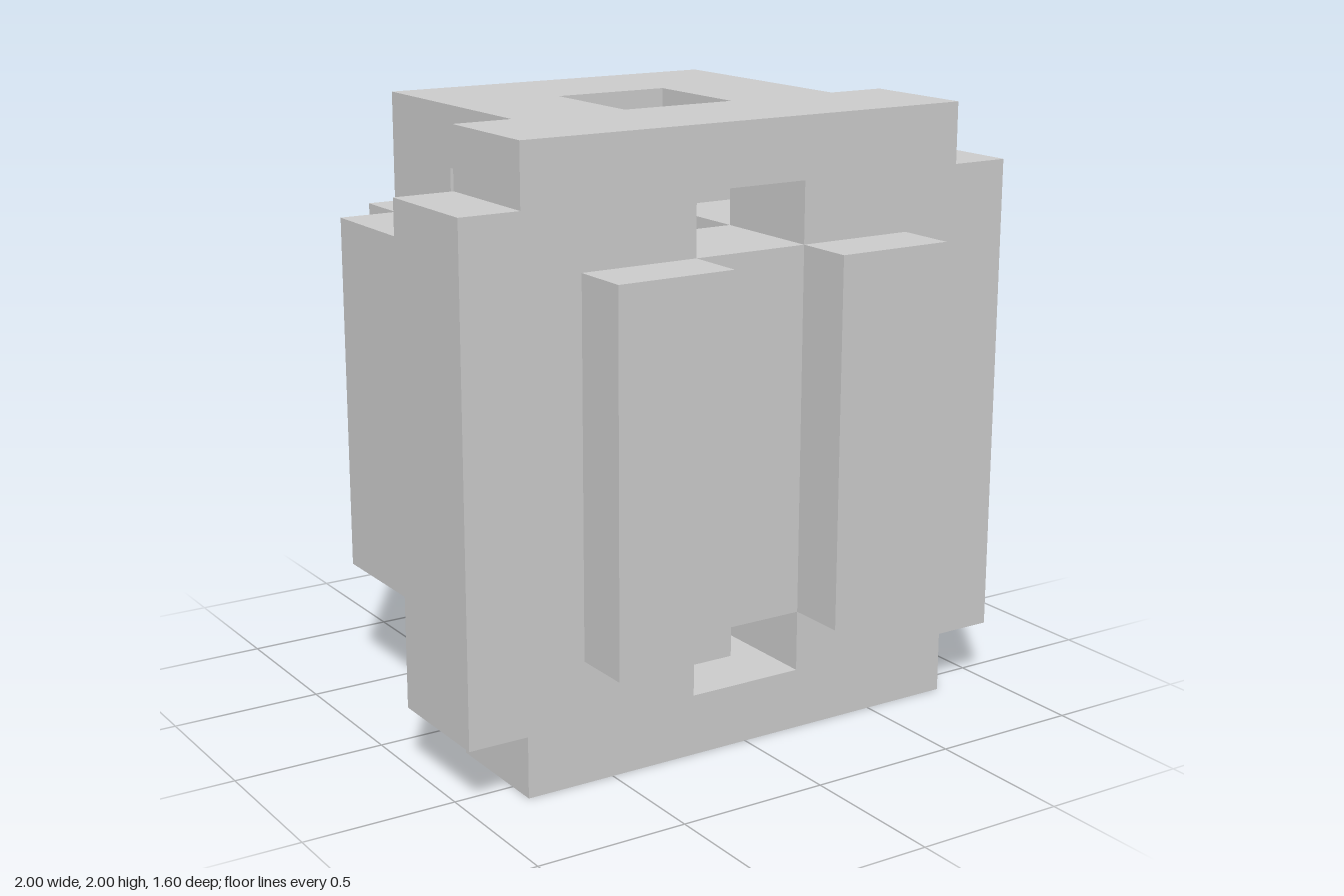
import * as THREE from 'three';

const material = new THREE.MeshStandardMaterial({ color: 0xcccccc, flatShading: true });

export function createModel() {
  const group = new THREE.Group();
  group.name = 'interlockingBlock';

  const add = (name, geometry) => {
    const mesh = new THREE.Mesh(geometry, material);
    mesh.name = name;
    group.add(mesh);
  };

  // Box given by its minimum and maximum on each axis
  const box = (name, x0, x1, y0, y1, z0, z1) => {
    const geometry = new THREE.BoxGeometry(x1 - x0, y1 - y0, z1 - z0);
    geometry.translate((x0 + x1) / 2, (y0 + y1) / 2, (z0 + z1) / 2);
    add(name, geometry);
  };

  // Upright plate, 0.4 thick, with a window near the top and the bottom
  const plate = (name, outline, z) => {
    const shape = new THREE.Shape(outline.map(([x, y]) => new THREE.Vector2(x, y)));
    for (const y of [0.2, 1.6]) {
      const corners = [[-0.2, y], [-0.2, y + 0.2], [0.2, y + 0.2], [0.2, y]];
      shape.holes.push(new THREE.Path(corners.map(([a, b]) => new THREE.Vector2(a, b))));
    }
    const geometry = new THREE.ExtrudeGeometry(shape, { depth: 0.4, bevelEnabled: false });
    geometry.translate(0, 0, z);
    add(name, geometry);
  };

  // Wide front plate with notched corners, narrower back plate
  plate('frontPlate', [
    [-0.8, 0], [0.8, 0], [0.8, 0.2], [1, 0.2], [1, 1.8], [0.8, 1.8],
    [0.8, 2], [-0.8, 2], [-0.8, 1.8], [-1, 1.8], [-1, 0.2], [-0.8, 0.2],
  ], 0.2);
  plate('backPlate', [[-0.6, 0], [0.6, 0], [0.6, 2], [-0.6, 2]], -0.6);

  for (const [side, s] of [['left', 1], ['right', -1]]) {
    // x range measured outwards from the middle on this side
    const mirrored = (name, near, far, ...rest) =>
      box(side + name, Math.min(s * near, s * far), Math.max(s * near, s * far), ...rest);

    // Side wall, broken by the two side windows
    mirrored('BottomBridge', 0.2, 0.6, 0, 0.2, -0.2, 0.2);
    mirrored('WallPanel', 0.2, 0.6, 0.4, 1.6, -0.2, 0.2);
    mirrored('TopBridge', 0.2, 0.6, 1.8, 2, -0.2, 0.2);

    // Raised posts on the front, back and side faces
    mirrored('FrontPost', 0.2, 0.6, 0.4, 1.6, 0.6, 0.8);
    mirrored('BackPost', 0.2, 0.6, 0.4, 1.6, -0.8, -0.6);
    mirrored('SidePost', 0.6, 0.8, 0.4, 1.6, -0.6, -0.2);
  }

  return group;
}
